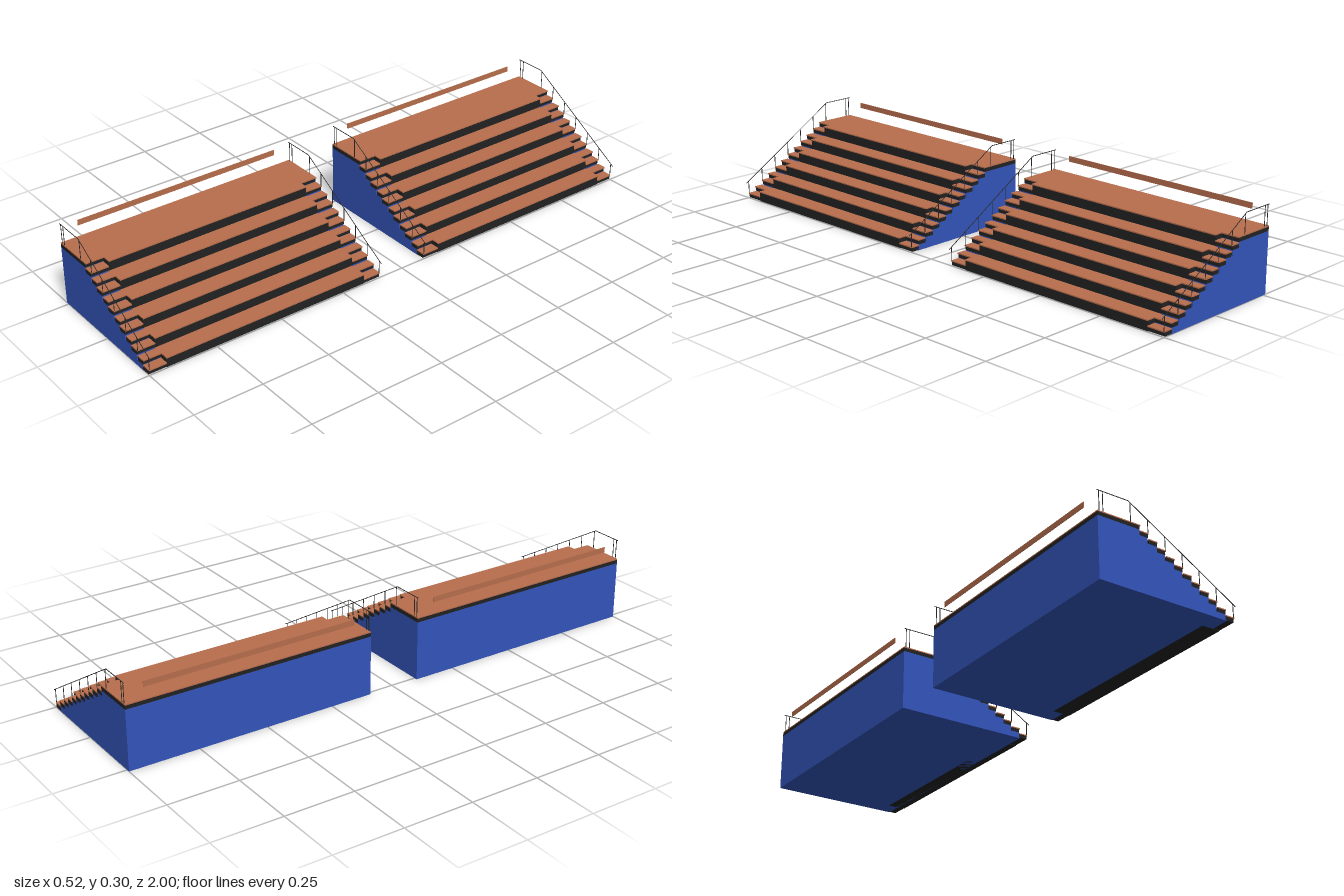
import * as THREE from 'three';

const tan = new THREE.MeshStandardMaterial({ color: 0xb86e4c });
const dark = new THREE.MeshStandardMaterial({ color: 0x222222 });
const blue = new THREE.MeshStandardMaterial({ color: 0x3355bb });
const metal = new THREE.MeshStandardMaterial({ color: 0x2a2a2a });

const ROWS = 6, RISE = 0.0384, RUN = 0.0642, HALF = 0.031;
const BACK = -0.262, FRONT = 0.25, TREAD = 0.004, DEEP = 0.0175, LIP = 0.004;
const Z0 = 0.096, Z1 = 1, AISLE = 0.065;

// Box given by its minimum and maximum on each axis
function box(parent, name, mat, x0, x1, y0, y1, z0, z1) {
  const m = new THREE.Mesh(new THREE.BoxGeometry(x1 - x0, y1 - y0, z1 - z0), mat);
  m.position.set((x0 + x1) / 2, (y0 + y1) / 2, (z0 + z1) / 2);
  m.name = name;
  parent.add(m);
}

// Thin plank on top of a slightly recessed dark box
function step(parent, name, x0, x1, bottom, top, z0, z1) {
  box(parent, name + 'Tread', tan, x0, x1, top - TREAD, top, z0, z1);
  box(parent, name + 'Riser', dark, x0, x1 - LIP, bottom, top - TREAD, z0, z1);
}

// Thin bar between two points
function bar(parent, name, a, b) {
  const dir = b.clone().sub(a);
  const m = new THREE.Mesh(new THREE.CylinderGeometry(0.0013, 0.0013, dir.length(), 6), metal);
  m.position.copy(a).add(b).multiplyScalar(0.5);
  m.quaternion.setFromUnitVectors(new THREE.Vector3(0, 1, 0), dir.normalize());
  m.name = name;
  parent.add(m);
}

// Handrail with posts along one end of a stand
function railing(z) {
  const g = new THREE.Group();
  g.name = 'railing';
  const bend = -0.143, tip = 0.26, high = 0.301, low = 0.06;
  const railY = x => x < bend ? high : high - (x - bend) * (high - low) / (tip - bend);
  const p = (x, y) => new THREE.Vector3(x, y, z);
  bar(g, 'topRail', p(BACK + 0.001, high), p(bend, high));
  bar(g, 'slopedRail', p(bend, high), p(tip, low));
  for (const x of [-0.254, -0.24, -0.137]) bar(g, 'platformPost', p(x, 0.213), p(x, railY(x)));
  for (let i = 0; i < ROWS; i++) {
    const x = FRONT - i * RUN - 0.001;
    bar(g, 'stepPost', p(x, i * RISE + 0.017), p(x, railY(x)));
  }
  return g;
}

function stand() {
  const g = new THREE.Group();
  g.name = 'stand';
  const outline = [[BACK, 0], [FRONT - HALF, 0]];
  for (let i = 0; i < ROWS; i++) {
    const edge = FRONT - i * RUN, top = (i + 1) * RISE, mid = top - RISE / 2;
    const back = i === ROWS - 1 ? BACK : edge - RUN;
    const inner = i === ROWS - 1 ? BACK : back - 0.007;
    // Seating row between the aisles
    step(g, 'row', inner, edge, i === ROWS - 1 ? top - DEEP : top - RISE, top, Z0 + AISLE, Z1 - AISLE);
    if (i === ROWS - 1) box(g, 'topRowFace', dark, edge - RUN, edge - LIP, top - RISE, top - DEEP, Z0 + AISLE, Z1 - AISLE);
    // Aisle steps at both ends, two per row
    for (const z of [Z0, Z1 - AISLE]) {
      step(g, 'aisle', back, edge - HALF, top - DEEP, top, z, z + AISLE);
      step(g, 'halfStep', edge - HALF - 0.005, edge, Math.max(0, mid - DEEP), mid, z, z + AISLE);
    }
    // Stepped outline of the base beneath the boxes
    if (i > 0) outline.push([edge - 0.006, mid - DEEP], [edge - HALF - 0.005, mid - DEEP]);
    outline.push([edge - HALF - 0.005, top - DEEP]);
    outline.push(i === ROWS - 1 ? [BACK, top - DEEP] : [edge - RUN - 0.006, top - DEEP]);
  }
  const shape = new THREE.Shape(outline.map(([x, y]) => new THREE.Vector2(x, y)));
  const base = new THREE.Mesh(
    new THREE.ExtrudeGeometry(shape, { depth: Z1 - Z0, bevelEnabled: false }), blue);
  base.position.z = Z0;
  base.name = 'base';
  g.add(base);
  // Backrest board behind the top platform
  box(g, 'backBoard', tan, BACK, BACK + 0.002, 0.271, 0.291, 0.161, 0.934);
  g.add(railing(Z0 + 0.002), railing(Z1 - 0.002));
  return g;
}

export function createModel() {
  const model = new THREE.Group();
  model.name = 'bleachers';
  // Two stands, symmetric end to end, with a gap between them
  for (const shift of [0, -(Z0 + Z1)]) {
    const s = stand();
    s.position.z = shift;
    model.add(s);
  }
  return model;
}
